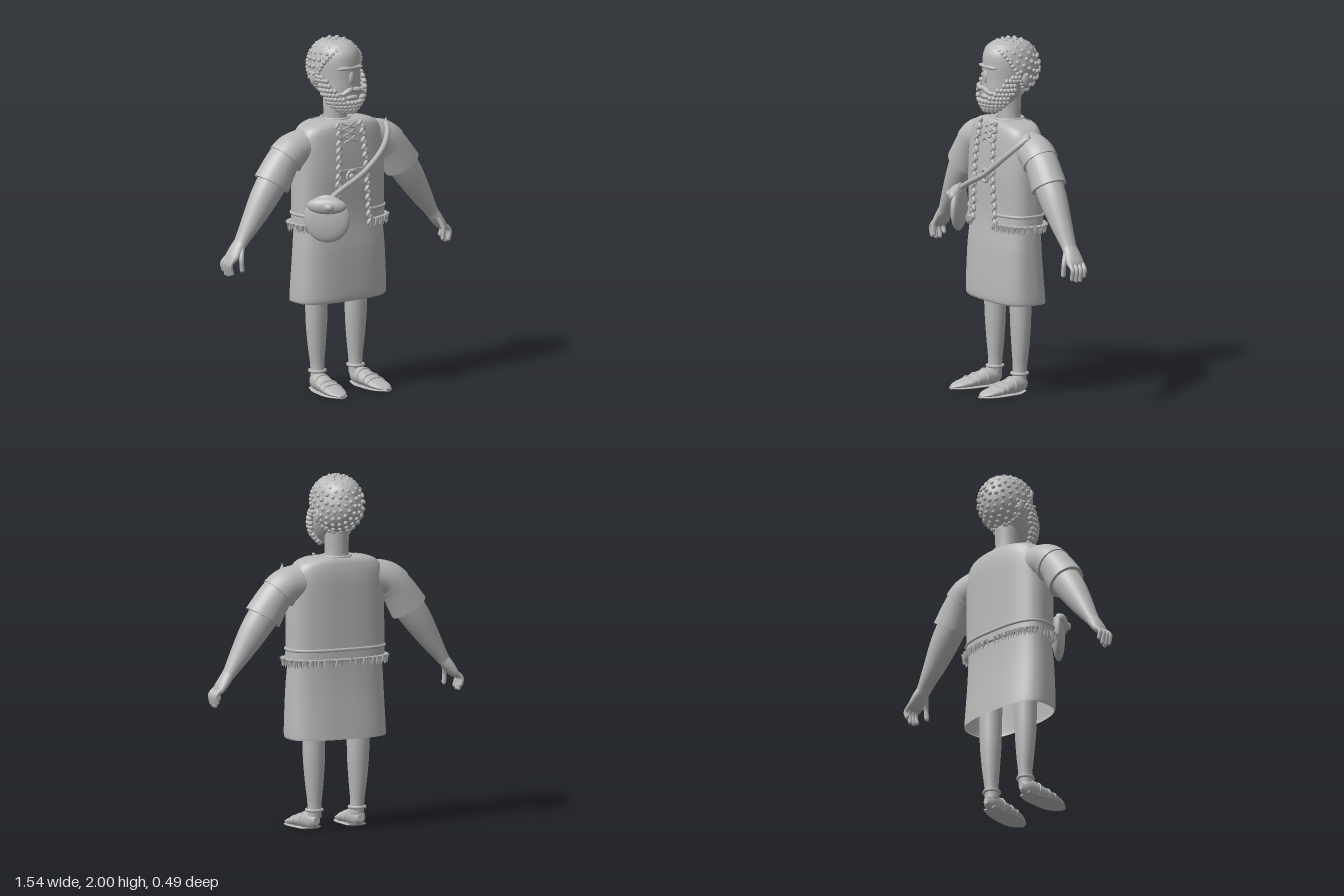
import * as THREE from 'three';
import { mergeGeometries } from 'three/addons/utils/BufferGeometryUtils.js';
import { ParametricGeometry } from 'three/addons/geometries/ParametricGeometry.js';

const V = (x, y, z) => new THREE.Vector3(x, y, z);
const clay = new THREE.MeshStandardMaterial({ color: 0xb8b8b8, side: THREE.DoubleSide });
clay.name = 'clay grey';

// Smooth interpolation through rows of numbers, t in [0, rows - 1]
function sampleAt(rows, t) {
  const n = rows.length - 1, i = Math.min(Math.floor(t), n - 1), f = t - i;
  const [a, b, c, d] = [Math.max(i - 1, 0), i, i + 1, Math.min(i + 2, n)].map(k => rows[k]);
  return b.map((_, k) => b[k] + 0.5 * f * (c[k] - a[k] + f * (2 * a[k] - 5 * b[k] + 4 * c[k] - d[k]
    + f * (3 * (b[k] - c[k]) + d[k] - a[k]))));
}

// Loft of ellipses along a path; rows are [x, y, z, radius, radiusZ], capped at both ends
function limb(rows, seg = 24, k = 5) {
  const n = (rows.length - 1) * k, pts = [], pos = [], idx = [];
  for (let i = 0; i <= n; i++) pts.push(sampleAt(rows, i / k));
  const rings = pts.map((p, i) => {
    const a = pts[Math.max(i - 1, 0)], b = pts[Math.min(i + 1, n)];
    const tx = b[0] - a[0], ty = b[1] - a[1], l = Math.hypot(tx, ty) || 1;
    return Array.from({ length: seg }, (_, j) => {
      const w = j / seg * Math.PI * 2, r = p[3] * Math.cos(w);
      return [p[0] + ty / l * r, p[1] - tx / l * r, p[2] + p[4] * Math.sin(w)];
    });
  });
  const dot = p => Array.from({ length: seg }, () => p.slice(0, 3));
  const all = [dot(pts[0]), rings[0], ...rings, rings[n], dot(pts[n])];
  all.forEach((ring, i) => ring.forEach((p, j) => {
    pos.push(...p);
    if (i === all.length - 1) return;
    const a = i * seg + j, b = i * seg + (j + 1) % seg;
    if (i !== 1 && i !== all.length - 3) idx.push(a, a + seg, b, b, a + seg, b + seg);
  }));
  const g = new THREE.BufferGeometry();
  g.setAttribute('position', new THREE.Float32BufferAttribute(pos, 3));
  g.setIndex(idx);
  g.computeVertexNormals();
  return g;
}

const tube = (points, r, seg = 24) =>
  new THREE.TubeGeometry(new THREE.CatmullRomCurve3(points), seg, r, 8, false);
const ball = (c, rx, ry = rx, rz = rx, w = 8, h = 6) =>
  new THREE.SphereGeometry(1, w, h).scale(rx, ry, rz).translate(c.x, c.y, c.z);

// Body outline: height, half width, front z, back z
const BODY = [[0.52, 0.29, 0.1, -0.195], [0.56, 0.294, 0.11, -0.192], [0.8, 0.285, 0.1, -0.172],
  [1.0, 0.274, 0.08, -0.165], [1.25, 0.272, 0.08, -0.165], [1.42, 0.262, 0.068, -0.165],
  [1.5, 0.23, 0.055, -0.155], [1.532, 0.16, 0.035, -0.14], [1.54, 0.06, 0, -0.12]];
const bodyT = y => {
  const i = Math.max(0, BODY.findIndex((r, k) => k < BODY.length - 1 && y <= BODY[k + 1][0]));
  return i + (y - BODY[i][0]) / (BODY[i + 1][0] - BODY[i][0]);
};
// Point on the rounded-box body section; angle 0 is the front, growing toward +x
function bodyPoint(t, a, off = 0) {
  const [y, w, zf, zb] = sampleAt(BODY, t), s = Math.sin(a), c = Math.cos(a), e = 2 / 2.8;
  const m = (zf + zb) / 2, d = (zf - zb) / 2;
  return V(Math.sign(s) * Math.abs(s) ** e * (w + off), y, m + Math.sign(c) * Math.abs(c) ** e * (d + off));
}
// Angle of the vest's front edge
function openAngle(t) {
  const [y, w] = sampleAt(BODY, t);
  const x = THREE.MathUtils.mapLinear(y, 0.95, 1.53, 0.115, 0.075);
  return Math.asin(Math.min(1, (x / (w + 0.014)) ** 1.4));
}

export function createModel() {
  const model = new THREE.Group();
  const add = (name, geo) => {
    const m = new THREE.Mesh(Array.isArray(geo) ? mergeGeometries(geo) : geo, clay);
    m.name = name;
    model.add(m);
    return m;
  };

  // Tunic and open vest
  const top = BODY.length - 1, low = bodyT(0.96), high = bodyT(1.534);
  add('tunic', new ParametricGeometry((u, v, p) => p.copy(bodyPoint(v * top, u * Math.PI * 2)), 72, 48));
  add('vest', new ParametricGeometry((u, v, p) => {
    const t = low + v * (high - low), a = openAngle(t);
    p.copy(bodyPoint(t, a + u * 2 * (Math.PI - a), 0.014));
  }, 72, 32));
  const around = (y, off, n) => {
    const t = bodyT(y), a = openAngle(t);
    return Array.from({ length: n }, (_, i) => bodyPoint(t, a + i / (n - 1) * 2 * (Math.PI - a), off));
  };
  add('vestHemRolls', [tube(around(1.025, 0.014, 40), 0.009, 90), tube(around(0.968, 0.016, 40), 0.009, 90)]);
  add('vestFringe', around(0.95, 0.026, 84).map((p, i) =>
    new THREE.ConeGeometry(0.011, 0.052, 6).rotateX(Math.PI).rotateZ(0.3 * Math.sin(i * 2.4)).translate(p.x, p.y, p.z)));

  // Leafy braids down the vest opening
  const braid = [];
  for (const s of [-1, 1]) for (let i = 0; i < 25; i++) {
    const t = bodyT(0.96 + i * 0.0232), p = bodyPoint(t, s * openAngle(t), 0.024);
    const leaf = new THREE.SphereGeometry(1, 8, 6).scale(0.011, 0.022, 0.013).rotateZ(i % 2 ? 0.55 : -0.55);
    braid.push(leaf.translate(p.x + (i % 2 ? 0.007 : -0.007), p.y, p.z));
  }
  add('vestBraids', braid);

  // Chest lacing
  const laces = [];
  for (let i = 0; i < 3; i++) for (const s of [-1, 1]) {
    const y = 1.42 + i * 0.036, z = 0.078 - i * 0.007;
    laces.push(tube([V(-0.045 * s, y, z), V(0, y + 0.018, z + 0.005), V(0.045 * s, y + 0.036, z - 0.008)], 0.006, 8));
  }
  add('laces', laces);

  // Belt plate and ring
  add('beltPlate', new THREE.BoxGeometry(0.16, 0.095, 0.02)).position.set(0.005, 1.22, 0.08);
  add('beltRing', new THREE.TorusGeometry(0.034, 0.009, 8, 24)).position.set(0, 1.225, 0.092);
  add('beltStud', ball(V(0, 1.225, 0.09), 0.018, 0.018, 0.012, 12, 8));

  // Shoulder bag with flap, toggle and strap
  const bag = new THREE.Group();
  bag.name = 'shoulderBag';
  bag.position.set(-0.205, 1.02, 0.135);
  bag.rotation.y = -0.82;
  bag.add(add('bagBody', ball(V(0, 0, 0), 0.13, 0.135, 0.036, 28, 18)));
  bag.add(add('bagFlap', ball(V(0, 0.075, 0.012), 0.112, 0.05, 0.042, 24, 14)));
  bag.add(add('bagToggle', ball(V(0.02, 0.075, 0.05), 0.03, 0.022, 0.02, 12, 8)));
  model.add(bag);
  add('bagStrap', tube([V(-0.24, 1.1, 0.14), V(-0.12, 1.165, 0.135), V(0.06, 1.25, 0.125), V(0.21, 1.36, 0.095),
    V(0.285, 1.44, 0.04), V(0.305, 1.475, 0)], 0.016, 40));
  add('strapTip', new THREE.ConeGeometry(0.017, 0.045, 8)).position.set(0.307, 1.488, -0.005);

  // Arms, hands, legs and sandals
  for (const s of [-1, 1]) {
    const side = s > 0 ? 'left' : 'right';
    const part = (name, rows, k) => add(side + name, limb(rows.map(([x, ...r]) => [x * s, ...r]), 24, k));
    part('ShoulderSleeve', [[0.15, 1.405, -0.055, 0.1, 0.09], [0.25, 1.4, -0.055, 0.1, 0.095],
      [0.315, 1.38, -0.055, 0.102, 0.1], [0.355, 1.345, -0.055, 0.106, 0.102]]);
    part('LowerSleeve', [[0.33, 1.385, -0.055, 0.09, 0.09], [0.39, 1.31, -0.054, 0.099, 0.093],
      [0.45, 1.217, -0.053, 0.11, 0.097]]);
    part('Forearm', [[0.42, 1.26, -0.053, 0.09, 0.08], [0.5, 1.15, -0.053, 0.083, 0.075],
      [0.58, 1.03, -0.053, 0.062, 0.06], [0.645, 0.935, -0.055, 0.04, 0.046], [0.665, 0.905, -0.055, 0.035, 0.043]]);
    part('Palm', [[0.66, 0.915, -0.055, 0.033, 0.042], [0.69, 0.875, -0.057, 0.032, 0.05],
      [0.722, 0.832, -0.058, 0.025, 0.053], [0.74, 0.808, -0.058, 0.012, 0.045]]);
    const fingers = [];
    for (let i = 0; i < 4; i++) {
      const z = -0.097 + i * 0.026, tip = 0.742 + (i === 0 ? 0.022 : i === 3 ? 0.01 : 0);
      const end = V(0.75 * s, tip, z);
      fingers.push(tube([V(0.712 * s, 0.845, z), V(0.758 * s, 0.8, z), end], 0.0125, 12), ball(end, 0.0125));
    }
    const thumbTip = V(0.695 * s, 0.768, 0.004);
    fingers.push(tube([V(0.678 * s, 0.885, -0.02), V(0.698 * s, 0.825, 0.002), thumbTip], 0.0135, 12), ball(thumbTip, 0.0135));
    add(side + 'Fingers', fingers);

    part('Leg', [[0.132, 0.07, -0.05, 0.042, 0.04], [0.132, 0.15, -0.055, 0.04, 0.04], [0.134, 0.26, -0.057, 0.052, 0.049],
      [0.136, 0.4, -0.057, 0.063, 0.057], [0.137, 0.55, -0.055, 0.065, 0.06], [0.137, 0.75, -0.05, 0.07, 0.062]]);
    add(side + 'AnkleStrap', new THREE.TorusGeometry(0.044, 0.009, 8, 28).rotateX(Math.PI / 2))
      .position.set(0.132 * s, 0.113, -0.053);
    // Foot lengths: z, half width, half height
    const foot = new THREE.Group();
    foot.name = side + 'Foot';
    foot.position.x = 0.143 * s;
    foot.rotation.y = 0.07 * s;
    const lengths = [[-0.092, 0.018, 0.022, 0.055], [-0.065, 0.038, 0.045, 0.055], [-0.02, 0.047, 0.052, 0.054],
      [0.05, 0.058, 0.04, 0.044], [0.12, 0.063, 0.027, 0.031], [0.18, 0.05, 0.017, 0.021], [0.22, 0.014, 0.007, 0.012]];
    foot.add(add(side + 'FootBody', limb(lengths.map(([z, w, h, cy]) => [0, z, -cy, w, h])).rotateX(Math.PI / 2)));
    foot.add(add(side + 'Sole', limb(lengths.slice(1).map(([z, w]) =>
      [0, z, -Math.max(0.007, -z * 0.35 - 0.004), w + 0.006, 0.007])).rotateX(Math.PI / 2)));
    foot.add(add(side + 'FootStraps', [0.01, 0.07, 0.11].map(z => {
      const i = lengths.findIndex(r => r[0] > z) - 1;
      const [, w, h, cy] = sampleAt(lengths, i + (z - lengths[i][0]) / (lengths[i + 1][0] - lengths[i][0]));
      return tube([-0.3, 0, 0.25, 0.5, 0.75, 1, 1.3].map(f =>
        V(w * Math.cos(f * Math.PI), cy + h * Math.sin(f * Math.PI), z)), 0.006, 20);
    })));
    model.add(foot);
    add(side + 'Ear', ball(V(0.132 * s, 1.775, -0.092), 0.017, 0.042, 0.026, 12, 10));
  }

  // Neck and head
  add('neck', limb([[0, 1.5, -0.065, 0.08, 0.07], [0, 1.56, -0.065, 0.068, 0.063], [0, 1.7, -0.065, 0.072, 0.07]]));
  add('collar', new THREE.TorusGeometry(0.078, 0.009, 8, 32).rotateX(Math.PI / 2)).position.set(0, 1.538, -0.065);
  add('head', limb([[0, 1.6, 0.03, 0.03, 0.035], [0, 1.63, 0.012, 0.075, 0.075], [0, 1.7, -0.02, 0.113, 0.112],
    [0, 1.78, -0.053, 0.127, 0.143], [0, 1.86, -0.068, 0.134, 0.158], [0, 1.92, -0.068, 0.122, 0.15],
    [0, 1.965, -0.065, 0.09, 0.112], [0, 1.984, -0.06, 0.045, 0.06], [0, 1.987, -0.06, 0.005, 0.005]], 36));
  add('brow', ball(V(0, 1.842, 0.074), 0.09, 0.014, 0.022, 20, 10));
  add('nose', ball(V(0, 1.785, 0.084), 0.02, 0.04, 0.016, 14, 10));
  add('lowerLip', ball(V(0, 1.676, 0.094), 0.04, 0.014, 0.016, 14, 8));

  // Hair cap, tilted back, studded with round curls
  const tilt = -1.07, rim = Math.acos(-0.24);
  const onSkull = g => g.rotateX(tilt).scale(0.141, 0.162, 0.171).translate(0, 1.828, -0.068);
  add('hairCap', onSkull(new THREE.SphereGeometry(1, 40, 24, 0, Math.PI * 2, 0, rim)));
  const curls = [];
  const curl = (theta, phi, r) => {
    const p = V(0, 0, 0).setFromSphericalCoords(1, theta, phi).applyAxisAngle(V(1, 0, 0), tilt);
    curls.push(ball(V(p.x * 0.143, 1.828 + p.y * 0.162, -0.068 + p.z * 0.173), r));
  };
  for (let i = 0; i < 120; i++) curl(Math.acos(1 - 1.2 * (i + 0.5) / 120), i * 2.39996, 0.0125);
  for (let i = 0; i < 40; i++) curl(rim - 0.03, i / 40 * Math.PI * 2, 0.013);
  add('hairCurls', curls);

  // Beard of small curls around the jaw: rows of height, radius x, radius z, centre z
  const jaw = [[1.597, 0.05, 0.045, 0.045], [1.65, 0.108, 0.092, 0.02], [1.72, 0.138, 0.112, -0.005], [1.79, 0.14, 0.12, -0.035]];
  const beard = [];
  for (let i = 0; i < 10; i++) {
    const [y, rx, rz, cz] = sampleAt(jaw, i / 3), inner = i < 4 ? 0 : 0.55 + (i - 4) * 0.14;
    const step = 0.024 / rx;
    for (let a = inner + (i % 2) * step / 2; a < 1.72; a += step) for (const s of a ? [-1, 1] : [1])
      beard.push(ball(V(s * rx * Math.sin(a), y, cz + rz * Math.cos(a)), 0.0145));
  }
  add('beardCurls', beard);
  add('moustache', [-1, 1].map(s => limb([[0, 1.722, 0.1, 0.012, 0.012], [0.03 * s, 1.722, 0.108, 0.015, 0.016],
    [0.065 * s, 1.702, 0.095, 0.012, 0.014], [0.095 * s, 1.708, 0.08, 0.003, 0.004]], 12)));
  return model;
}
